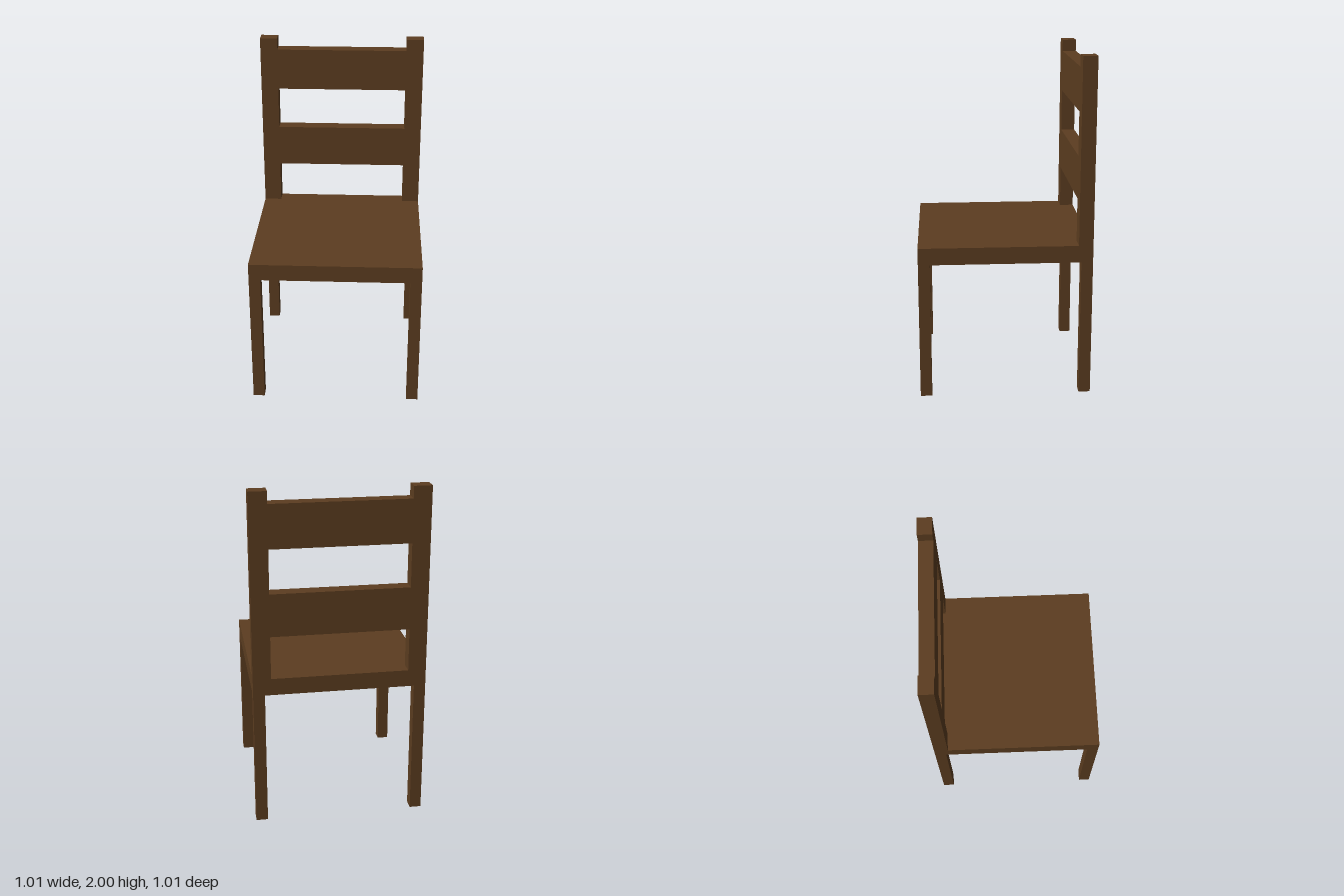
import * as THREE from 'three';

export function createModel() {
  const chair = new THREE.Group();
  chair.name = 'chair';
  const wood = new THREE.MeshStandardMaterial({ color: 0x5c3d20 });

  // Box given by its size, centre x, bottom y and centre z
  function addBox(name, [w, h, d], x, bottom, z) {
    const mesh = new THREE.Mesh(new THREE.BoxGeometry(w, h, d), wood);
    mesh.name = name;
    mesh.position.set(x, bottom + h / 2, z);
    chair.add(mesh);
  }

  const half = 0.505, seatBottom = 0.815, seatTop = 0.915;
  const leg = 0.068, postW = 0.105, postD = 0.084;
  const backZ = -half + postD / 2;

  addBox('seat', [2 * half, seatTop - seatBottom, 2 * half], 0, seatBottom, 0);

  for (const [side, sx] of [['left', 1], ['right', -1]]) {
    // Legs, flush with the seat corners
    for (const [end, sz] of [['Front', 1], ['Back', -1]]) {
      addBox(`${side}${end}Leg`, [leg, seatBottom, leg], sx * (half - leg / 2), 0, sz * (half - leg / 2));
    }
    // Backrest posts
    addBox(`${side}BackPost`, [postW, 2 - seatTop, postD], sx * (half - postW / 2), seatTop, backZ);
  }

  // Backrest slats, as deep as the posts
  const slat = [2 * (half - postW), 0.252, postD];
  addBox('lowerSlat', slat, 0, 1.17, backZ);
  addBox('upperSlat', slat, 0, 1.678, backZ);

  return chair;
}
